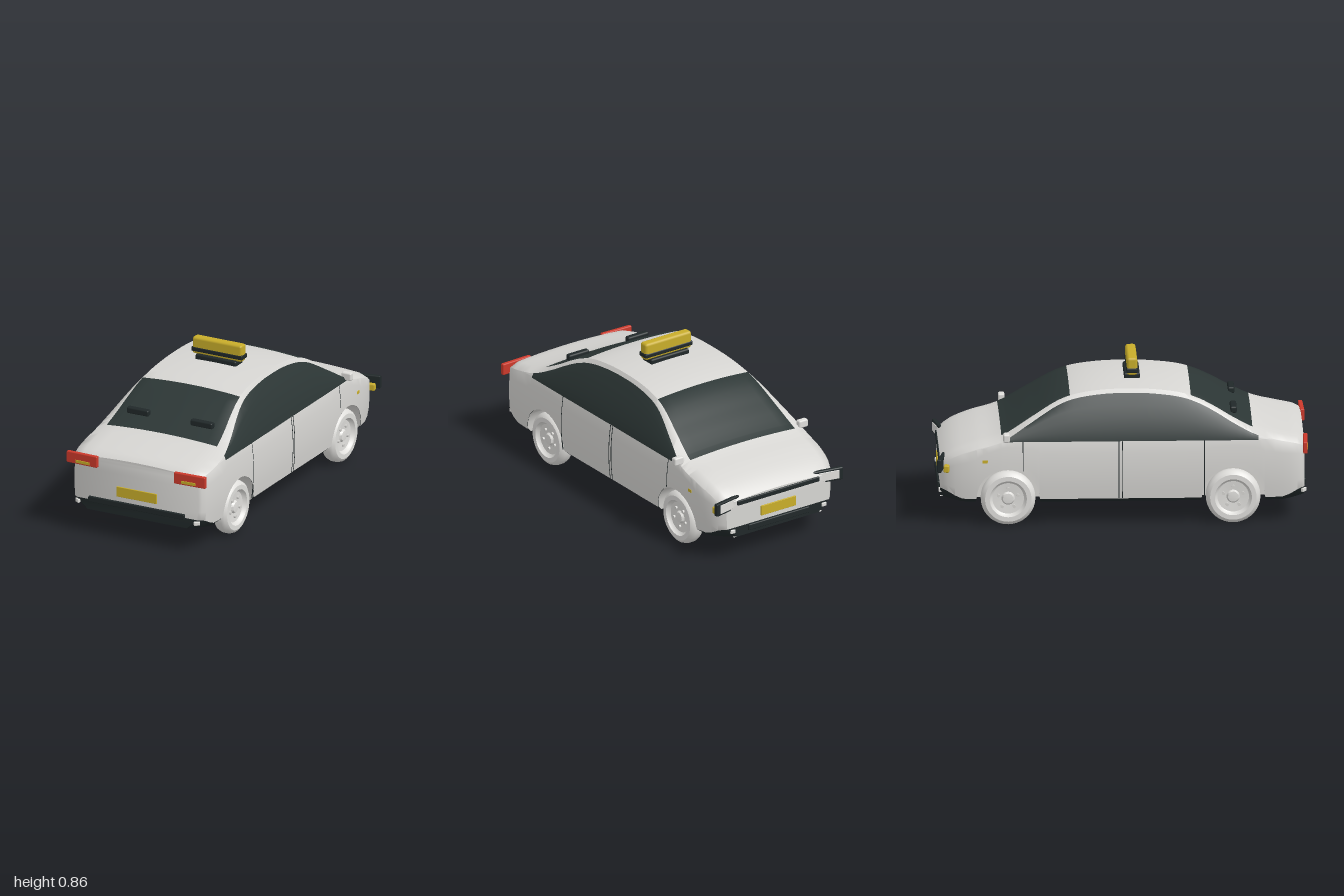
import * as THREE from 'three';
import { toCreasedNormals } from 'three/addons/utils/BufferGeometryUtils.js';
import { RoundedBoxGeometry } from 'three/addons/geometries/RoundedBoxGeometry.js';

const mat = (name, color, side = THREE.FrontSide) => {
  const m = new THREE.MeshStandardMaterial({ color, side });
  m.name = name;
  return m;
};

// Smooth interpolation through [z, value] pairs
function curve(pts) {
  return z => {
    if (z <= pts[0][0]) return pts[0][1];
    const n = pts.length;
    if (z >= pts[n - 1][0]) return pts[n - 1][1];
    const i = pts.findIndex(p => p[0] > z) - 1;
    const slope = k => {
      const a = pts[Math.max(0, k - 1)], b = pts[Math.min(n - 1, k + 1)];
      return (b[1] - a[1]) / (b[0] - a[0]);
    };
    const h = pts[i + 1][0] - pts[i][0], t = (z - pts[i][0]) / h;
    const s = t * t * (3 - 2 * t);
    return pts[i][1] * (1 - s) + pts[i + 1][1] * s
      + h * slope(i) * t * (1 - t) ** 2 - h * slope(i + 1) * t * t * (1 - t);
  };
}

// Centre-line height and half width along the car (tail at +z)
const topLine = curve([[-0.978, 0.36], [-0.95, 0.385], [-0.9, 0.417], [-0.8, 0.455], [-0.65, 0.5],
  [-0.5, 0.59], [-0.35, 0.68], [-0.25, 0.715], [-0.1, 0.736], [0.05, 0.74], [0.15, 0.737], [0.3, 0.72],
  [0.4, 0.692], [0.5, 0.643], [0.6, 0.585], [0.72, 0.527], [0.85, 0.495], [0.95, 0.474], [0.978, 0.455]]);
const halfWidth = curve([[-0.978, 0.34], [-0.95, 0.368], [-0.9, 0.39], [-0.8, 0.41], [-0.6, 0.42],
  [0, 0.42], [0.7, 0.42], [0.85, 0.416], [0.92, 0.409], [0.96, 0.395], [0.978, 0.375]]);
const sideX = (w, y) => w - 0.45 * (y - 0.3) ** 2;

const AXLES = [-0.615, 0.595], ARCH = 0.17;
const archY = (z, base) => {
  for (const c of AXLES) {
    const d = Math.abs(z - c);
    if (d < ARCH + 1e-6) return 0.15 + Math.sqrt(Math.max(0, ARCH * ARCH - d * d));
  }
  return base;
};

// Half cross-section from bottom centre, around the side, to top centre
const SIDE = 5, GLASS = 4, TOP = 5;
function section(z) {
  const w = halfWidth(z), t = topLine(z);
  const end = THREE.MathUtils.smoothstep(Math.abs(z), 0.85, 0.978);
  const yb = 0.127 + 0.01 * end, a = archY(z, yb);
  const sill = Math.max(a, 0.147 + 0.048 * end);
  const belt = Math.min(0.465, t - 0.04);
  const pts = [[0, yb], [0.29, yb], [0.29, a], [sideX(w, a) - (a > yb ? 0.002 : 0.02 + 0.04 * end), a]];
  for (let i = 0; i <= SIDE; i++) {
    const y = sill + (belt - sill) * i / SIDE;
    pts.push([sideX(w, y), y]);
  }
  const g = Math.max(belt + 0.005, t - 0.035), xb = sideX(w, belt), xg = xb - (g - belt) * 0.44;
  for (let i = 1; i <= GLASS; i++) {
    const k = i / GLASS;
    pts.push([xb + (xg - xb) * k + 0.05 * (g - belt) * Math.sin(Math.PI * k), belt + (g - belt) * k]);
  }
  const xt = Math.min(0.29 + (xg - 0.305) * 0.55, xg - 0.012);
  for (let i = 0; i <= TOP; i++) {
    const k = 1 - i / TOP;
    pts.push([xt * k, t - 0.014 * k * k]);
  }
  return pts;
}

// Body shell: 0 paint, 1 glass, 2 dark trim
function bodyGeometry() {
  const zs = [-0.978, -0.965, -0.65, -0.62, -0.28, 0.37, 0.7, 0.73, 0.965, 0.978];
  for (const c of AXLES) {
    zs.push(c - ARCH - 0.004, c + ARCH + 0.004);
    for (let i = 0; i <= 14; i++) zs.push(c - ARCH * Math.cos(Math.PI * i / 14));
  }
  for (let z = -0.94; z < 0.95; z += 0.04) if (zs.every(q => Math.abs(q - z) > 0.014)) zs.push(z);
  zs.sort((a, b) => a - b);
  const rows = zs.map(z => section(z).map(([x, y]) => [x, y, z]));
  const faces = [[], [], []];
  const quad = (m, a, b, c, d) => faces[m].push(...a, ...b, ...c, ...a, ...c, ...d);
  const flip = p => [-p[0], p[1], p[2]];
  const beltRow = 4 + SIDE, edgeRow = beltRow + GLASS;
  const colour = (i, z) => {
    if (i === 0 || i === 3) return 2;
    if (i >= beltRow && i < edgeRow) return z > -0.62 && z < 0.73 ? 1 : 0;
    if (i > edgeRow) return (z > -0.65 && z < -0.28) || (z > 0.37 && z < 0.7) ? 1 : 0;
    return 0;
  };
  for (let s = 0; s < rows.length - 1; s++) {
    for (let i = 0; i < rows[s].length - 1; i++) {
      const a = rows[s][i], b = rows[s][i + 1], c = rows[s + 1][i + 1], d = rows[s + 1][i];
      const m = colour(i, (zs[s] + zs[s + 1]) / 2);
      quad(m, a, b, c, d);
      quad(m, flip(d), flip(c), flip(b), flip(a));
    }
  }
  // Nose and tail panels
  const nose = rows[0], tail = rows[rows.length - 1];
  for (let i = 0; i < nose.length - 1; i++) {
    const m = i < 4 ? 2 : 0;
    quad(m, flip(tail[i]), tail[i], tail[i + 1], flip(tail[i + 1]));
    quad(m, nose[i], flip(nose[i]), flip(nose[i + 1]), nose[i + 1]);
  }
  const geo = new THREE.BufferGeometry();
  geo.setAttribute('position', new THREE.Float32BufferAttribute(faces.flat(), 3));
  let start = 0;
  faces.forEach((f, m) => { geo.addGroup(start, f.length / 3, m); start += f.length / 3; });
  return toCreasedNormals(geo, 0.7);
}

export function createModel() {
  const car = new THREE.Group();
  car.name = 'car';
  const paint = mat('paint', 0xd6d5d2), glass = mat('glass', 0x2c3635), trim = mat('dark trim', 0x202829);
  const light = mat('light grey', 0xdfdedb), yellow = mat('yellow', 0xc8ad2a), red = mat('red', 0xcc392b);

  const add = (name, geo, m, x = 0, y = 0, z = 0, ry = 0) => {
    const mesh = new THREE.Mesh(geo, m);
    mesh.name = name;
    mesh.position.set(x, y, z);
    mesh.rotation.y = ry;
    car.add(mesh);
    return mesh;
  };
  const block = (name, m, w, h, d, x, y, z, ry = 0) =>
    add(name, new RoundedBoxGeometry(w, h, d, 1, Math.min(w, h, d) * 0.25), m, x, y, z, ry);

  add('body', bodyGeometry(), [paint, glass, trim]);

  // Roof sign
  block('signFoot', trim, 0.25, 0.035, 0.085, 0, 0.747, 0.06);
  block('signBox', yellow, 0.304, 0.097, 0.056, 0, 0.807, 0.06);
  block('signBand', trim, 0.312, 0.026, 0.062, 0, 0.786, 0.06);

  // Number plates, bumpers and grille bar
  block('rearPlate', yellow, 0.246, 0.057, 0.009, 0, 0.273, 0.982);
  block('frontPlate', yellow, 0.23, 0.057, 0.009, 0, 0.25, -0.981);
  block('rearBumper', trim, 0.59, 0.032, 0.02, 0, 0.2, 0.98);
  block('frontBumper', trim, 0.4, 0.035, 0.02, 0, 0.175, -0.98);
  block('grilleBar', trim, 0.54, 0.028, 0.02, 0, 0.335, -0.976);

  // Wheel shapes
  const tyre = toCreasedNormals(new THREE.LatheGeometry([[0, -0.035], [0.09, -0.035], [0.1, -0.043],
    [0.125, -0.043], [0.14, -0.032], [0.147, -0.014], [0.147, 0.014], [0.14, 0.032], [0.125, 0.043],
    [0.1, 0.043], [0.094, 0.03], [0.085, 0.022], [0.036, 0.018], [0.028, 0.03], [0, 0.033]]
    .map(p => new THREE.Vector2(...p)), 36), 0.6);
  const bolt = new THREE.CylinderGeometry(0.009, 0.009, 0.016, 8);

  for (const s of [1, -1]) {
    // Lamps
    block('tailLight', red, 0.19, 0.065, 0.024, s * 0.33, 0.422, 0.985, s * 0.03);
    block('tailIndicator', yellow, 0.087, 0.017, 0.008, s * 0.324, 0.406, 0.996, s * 0.03);
    block('headlightFrame', trim, 0.175, 0.072, 0.024, s * 0.332, 0.335, -0.97, s * 0.2);
    block('headlightLens', light, 0.12, 0.05, 0.008, s * 0.334, 0.335, -0.982, s * 0.2);
    block('frontIndicator', yellow, 0.045, 0.04, 0.03, s * 0.382, 0.315, -0.945, s * 0.2);
    block('sideMarker', yellow, 0.008, 0.018, 0.03, s * 0.411, 0.358, -0.74);
    block('rearCornerLamp', light, 0.035, 0.022, 0.016, s * 0.365, 0.175, 0.975, s * 0.6);
    block('frontCornerLamp', light, 0.03, 0.022, 0.016, s * 0.3, 0.175, -0.978);

    // Mirrors and rear window pads
    block('mirror', light, 0.06, 0.045, 0.035, s * 0.41, 0.491, -0.625);
    block('rearWindowPad', trim, 0.134, 0.036, 0.035, s * 0.195, 0.592, 0.602);

    // Door seams
    for (const [z, low] of [[0.44, 0.15], [0, 0.15], [-0.02, 0.15], [-0.535, 0.305]]) {
      const pts = [0, 0.25, 0.5, 0.75, 1].map(k => {
        const y = low + (0.465 - low) * k;
        return new THREE.Vector3(s * (sideX(0.42, y) - 0.001), y, z);
      });
      add('doorSeam', new THREE.TubeGeometry(new THREE.CatmullRomCurve3(pts), 8, 0.003, 5), trim);
    }

    // Wheels
    for (const z of AXLES) {
      const wheel = new THREE.Group();
      wheel.name = 'wheel';
      wheel.position.set(s * 0.367, 0.147, z);
      wheel.rotation.z = -s * Math.PI / 2;
      const t = new THREE.Mesh(tyre, light);
      t.name = 'tyreAndRim';
      wheel.add(t);
      for (let i = 0; i < 5; i++) {
        const b = new THREE.Mesh(bolt, paint), a = i * Math.PI * 0.4;
        b.name = 'bolt';
        b.position.set(0.055 * Math.cos(a), 0.022, 0.055 * Math.sin(a));
        wheel.add(b);
      }
      car.add(wheel);
    }
  }
  return car;
}
